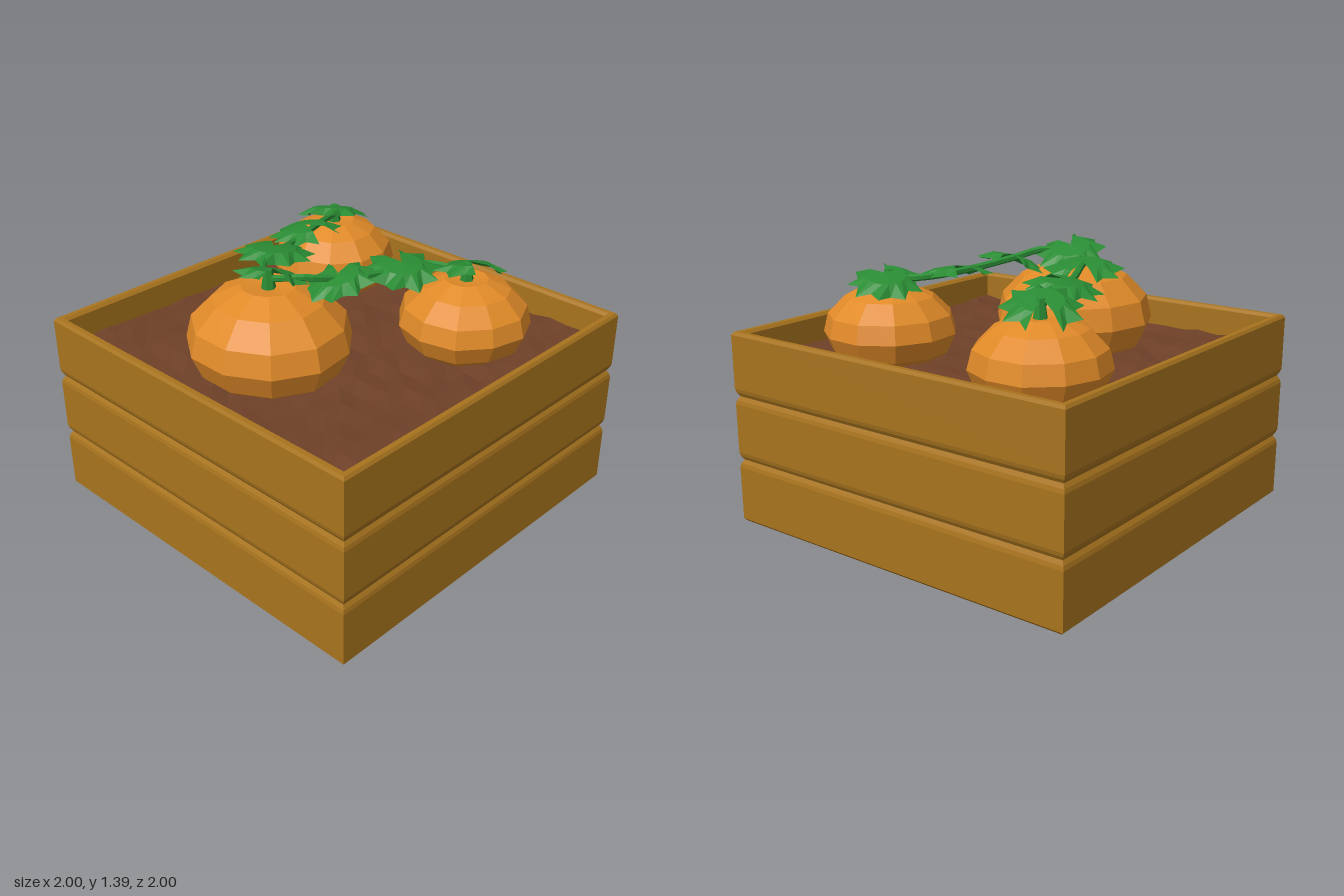
import * as THREE from 'three';

const mat = (color, side = THREE.FrontSide) =>
  new THREE.MeshStandardMaterial({ color, flatShading: true, side });
const wood = mat(0xa8741e);
const earth = mat(0x6f4128);
const orange = mat(0xe08a28);
const green = mat(0x2a8c34);
const leafGreen = mat(0x2a8c34, THREE.DoubleSide);

// Small seeded noise in the range -1..1
const noise = (a, b) => {
  const s = Math.sin(a * 127.1 + b * 311.7) * 43758.5453;
  return (s - Math.floor(s)) * 2 - 1;
};

function add(group, name, geometry, material) {
  const mesh = new THREE.Mesh(geometry, material);
  mesh.name = name;
  group.add(mesh);
  return mesh;
}

// Square crate: a four-sided lathe with two plank grooves and a hollow inside
function crateGeometry() {
  const profile = [
    [0, 0], [0.985, 0], [1, 0.015],
    [1, 0.295], [0.995, 0.315], [0.983, 0.335], [0.995, 0.355], [1, 0.375],
    [1, 0.63], [0.995, 0.65], [0.983, 0.67], [0.995, 0.69], [1, 0.71],
    [1, 0.985], [0.99, 1], [0.965, 1], [0.95, 0.985],
    [0.95, 0.71], [0.95, 0.5],
  ].map(([r, y]) => new THREE.Vector2(r * Math.SQRT2, y));
  return new THREE.LatheGeometry(profile, 4, Math.PI / 4);
}

// Lumpy soil bed
function soilGeometry() {
  const g = new THREE.PlaneGeometry(1.9, 1.9, 18, 18).rotateX(-Math.PI / 2);
  const p = g.attributes.position;
  for (let i = 0; i < p.count; i++) {
    const x = p.getX(i), z = p.getZ(i);
    const swell = 0.012 * Math.sin(x * 4 + 1) * Math.cos(z * 3.5);
    p.setY(i, 0.85 + swell + 0.012 * noise(Math.round(x * 20), Math.round(z * 20)));
  }
  return g;
}

// Faceted pumpkin: r is the widest radius, top the height of the crown
function pumpkinGeometry(r, top, seed) {
  const sides = 11, h = top - 0.98;
  const profile = [
    [0, -0.75], [0.6, -0.72], [0.87, -0.42], [1, 0],
    [0.93, 0.4], [0.67, 0.78], [0.33, 1], [0.1, 0.96], [0, 0.9],
  ].map(([a, b]) => new THREE.Vector2(a * r, b * h));
  const g = new THREE.LatheGeometry(profile, sides, seed);
  const p = g.attributes.position;
  for (let i = 0; i < p.count; i++) {
    const k = 1 + 0.03 * noise(Math.floor(i / profile.length) % sides, seed);
    p.setXYZ(i, p.getX(i) * k, p.getY(i), p.getZ(i) * k);
  }
  return g;
}

// Drooping spiky leaf with an open notch; sx and sz are its slopes along x and z
function leafGeometry(r, notch, sx, sz) {
  const steps = 16, gap = 0.42, pos = [], index = [];
  const rings = [[0.02, 0], [0.58, -0.01], [1, -0.05]];
  for (let i = 0; i <= steps; i++) {
    const a = notch + gap + (i / steps) * (Math.PI * 2 - gap * 2);
    rings.forEach(([k, y], j) => {
      const spike = j === 2 ? (i % 2 ? 0.82 : 1.1) : 1;
      const x = Math.cos(a) * r * k * spike, z = Math.sin(a) * r * k * spike;
      const lift = j === 2 ? 0.012 * noise(i, notch) : 0;
      pos.push(x, y + lift + sx * x + sz * z, z);
    });
    if (i === steps) continue;
    for (let j = 0; j < 2; j++) {
      const p = i * 3 + j, q = p + 3;
      index.push(p, q, q + 1, p, q + 1, p + 1);
    }
  }
  const g = new THREE.BufferGeometry();
  g.setAttribute('position', new THREE.Float32BufferAttribute(pos, 3));
  g.setIndex(index);
  g.computeVertexNormals();
  return g;
}

export function createModel() {
  const model = new THREE.Group();
  add(model, 'crate', crateGeometry(), wood);
  add(model, 'soil', soilGeometry(), earth);

  // Pumpkins with their stems: x, z, radius, crown height
  [
    [-0.375, -0.09, 0.41, 1.27],
    [0.54, -0.54, 0.33, 1.21],
    [0.44, 0.46, 0.335, 1.21],
  ].forEach(([x, z, r, top], i) => {
    const plant = new THREE.Group();
    plant.name = 'pumpkin' + (i + 1);
    plant.position.set(x, 0, z);
    add(plant, 'body', pumpkinGeometry(r, top, i + 0.4), orange).position.y = 0.98;
    add(plant, 'stem', new THREE.CylinderGeometry(0.022, 0.04, 0.12, 6), green)
      .position.y = top + 0.02;
    model.add(plant);
  });

  // Vines trailing from the large pumpkin to each small one
  [
    [[-0.375, 1.3, -0.09], [-0.31, 1.31, -0.2], [-0.12, 1.3, -0.3],
      [0.06, 1.27, -0.37], [0.3, 1.28, -0.43], [0.54, 1.24, -0.54]],
    [[-0.375, 1.3, -0.09], [-0.31, 1.33, 0.05], [-0.15, 1.3, 0.13],
      [0.1, 1.27, 0.21], [0.35, 1.26, 0.28], [0.44, 1.24, 0.46]],
  ].forEach((path, i) => {
    const curve = new THREE.CatmullRomCurve3(path.map((p) => new THREE.Vector3(...p)));
    add(model, 'vine' + (i + 1), new THREE.TubeGeometry(curve, 24, 0.018, 6), green);
  });

  // Leaves: centre x, y, z, radius, notch direction, slopes along x and z
  [
    [-0.37, 1.36, -0.07, 0.17, 2.2, -0.35, 0.12],
    [-0.13, 1.33, -0.31, 0.19, -0.5, -0.15, 0.05],
    [0.2, 1.31, -0.42, 0.18, 1.57, 0.05, 0.15],
    [0.53, 1.29, -0.54, 0.18, -0.7, -0.25, 0.2],
    [-0.13, 1.32, 0.13, 0.17, -0.6, 0.25, 0.12],
    [0.21, 1.3, 0.23, 0.18, -1.2, 0.05, -0.12],
    [0.48, 1.28, 0.44, 0.175, 1.9, -0.2, 0.2],
  ].forEach(([x, y, z, r, notch, sx, sz], i) => {
    add(model, 'leaf' + (i + 1), leafGeometry(r, notch, sx, sz), leafGreen)
      .position.set(x, y, z);
  });
  return model;
}
